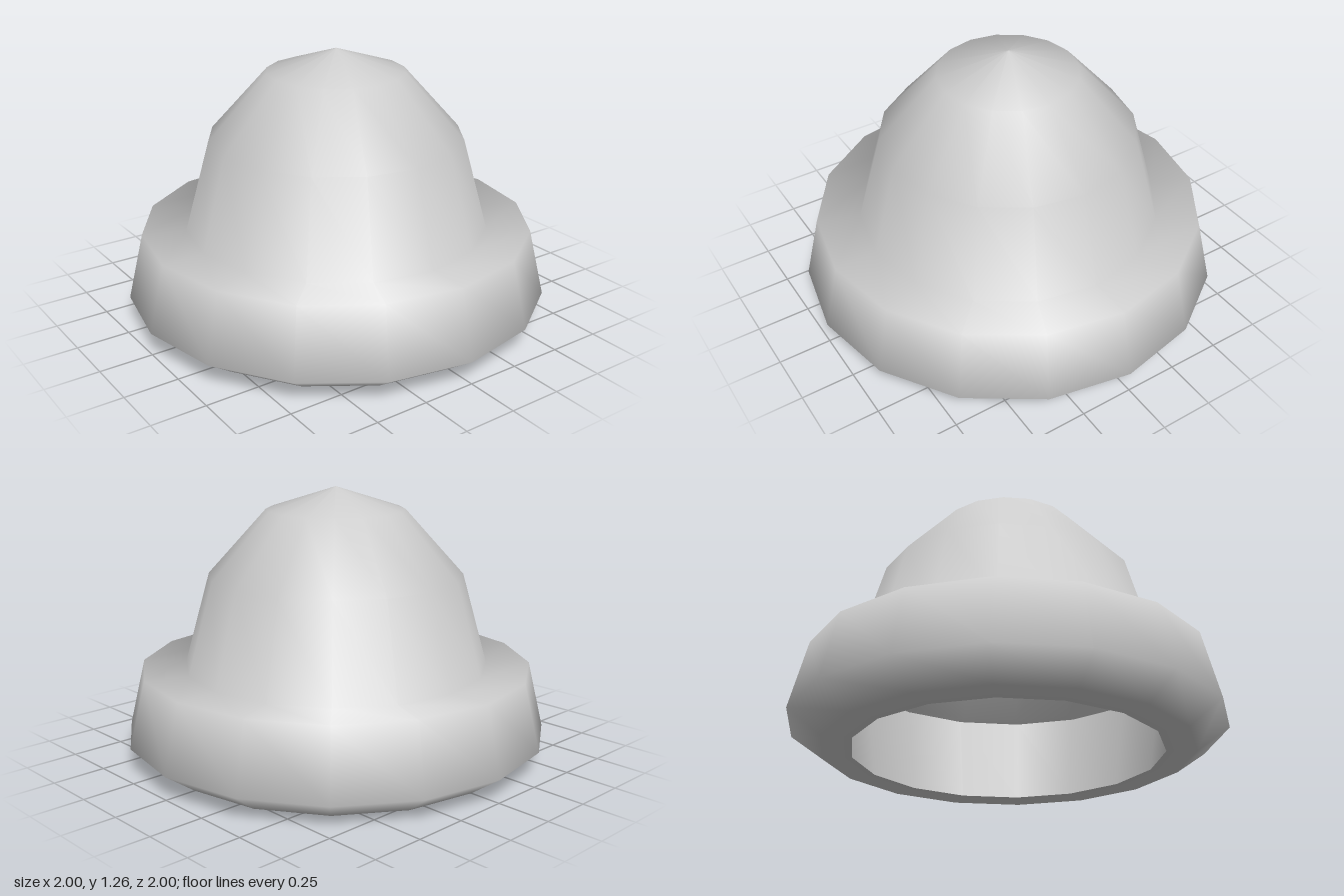
import * as THREE from 'three';

const SIDES = 16;

// Smooth 16-sided surface of revolution from [radius, height] pairs
function turned(name, profile, material) {
  const points = profile.map(([r, y]) => new THREE.Vector2(r, y));
  const mesh = new THREE.Mesh(new THREE.LatheGeometry(points, SIDES), material);
  mesh.name = name;
  return mesh;
}

export function createModel() {
  const group = new THREE.Group();
  group.name = 'beanieHat';
  const material = new THREE.MeshStandardMaterial({ color: 0xcccccc, side: THREE.DoubleSide });

  // Underside, flared cuff, ledge and domed crown as one continuous shell
  group.add(turned('cuffAndCrown', [
    [0.71, 0], [0.85, 0], [1, 0.105], [0.925, 0.42],
    [0.72, 0.42], [0.6, 0.85], [0.325, 1.155], [0, 1.26],
  ], material));

  // Band lining the inside of the cuff, from the ledge down to the opening
  group.add(turned('innerBand', [[0.78, 0.42], [0.71, 0]], material));

  return group;
}
